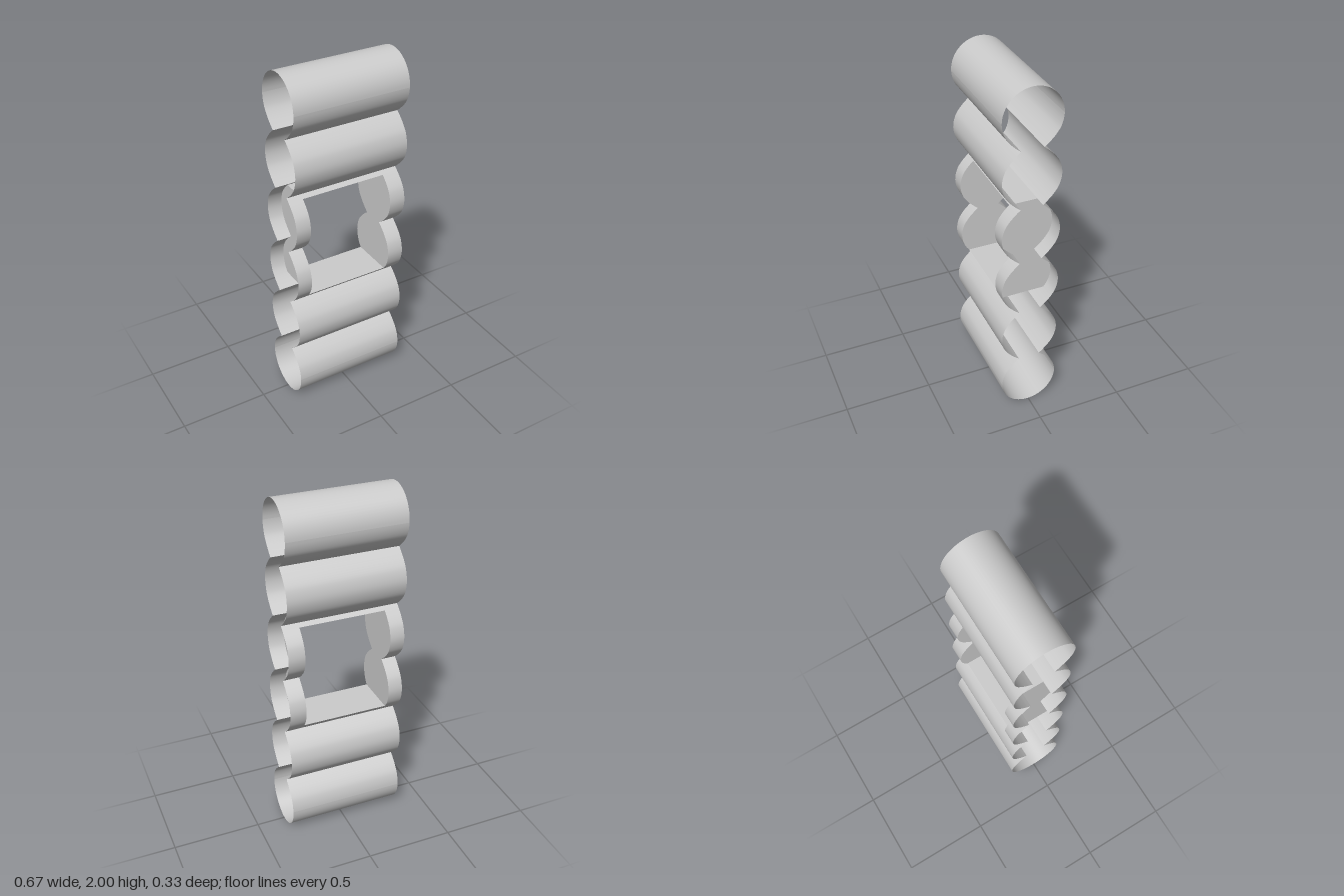
import * as THREE from 'three';

const LOBES = 6, PITCH = 2 / LOBES, HALF = PITCH / 2, DEPTH = 0.164, LENGTH = 0.333;
const WIN = { x0: -0.25, x1: 0.24, y0: 0.725, y1: 1.315 };
const mat = new THREE.MeshStandardMaterial({ color: 0xcccccc, side: THREE.DoubleSide });

// Half depth of a lobe against height above its waist
const flank = new THREE.CatmullRomCurve3(
  [[0.062, 0], [0.086, 0.02], [0.123, 0.058], [0.15, 0.1], [DEPTH, HALF], [0.15, PITCH - 0.1],
    [0.123, PITCH - 0.058], [0.086, PITCH - 0.02], [0.062, PITCH]].map(([z, y]) => new THREE.Vector3(z, y, 0)));

// Front flank of one lobe as [z, y] points going up, clipped to a height range
function flankPath(lobe, y0 = -1, y1 = 3) {
  const pts = flank.getPoints(32).map(p => [p.x, p.y + lobe * PITCH]);
  const out = [];
  pts.forEach((p, i) => {
    const q = pts[i - 1];
    if (q) for (const y of [y0, y1]) {
      if (q[1] < y && p[1] > y) out.push([THREE.MathUtils.mapLinear(y, q[1], p[1], q[0], p[0]), y]);
    }
    if (p[1] >= y0 && p[1] <= y1) out.push(p);
  });
  return out;
}

const toBack = path => path.map(([z, y]) => [-z, y]).reverse();

// Smooth wall that sweeps a [z, y] path along x
function wall(name, path, x0 = -LENGTH, x1 = LENGTH) {
  const pos = [], idx = [];
  path.forEach(([z, y], i) => {
    pos.push(x0, y, z, x1, y, z);
    if (i) {
      const a = 2 * i - 2;
      idx.push(a, a + 1, a + 3, a, a + 3, a + 2);
    }
  });
  const g = new THREE.BufferGeometry();
  g.setAttribute('position', new THREE.Float32BufferAttribute(pos, 3));
  g.setIndex(idx);
  g.computeVertexNormals();
  const m = new THREE.Mesh(g, mat);
  m.name = name;
  return m;
}

// Rounded end lobe: half round outside, flanks down to the waist
function endPath(top) {
  const cy = top ? 2 - HALF : HALF;
  const lobe = top ? LOBES - 1 : 0;
  const front = top ? flankPath(lobe, -1, cy - 0.001) : flankPath(lobe, cy + 0.001);
  const arc = [];
  for (let i = 0; i <= 32; i++) {
    const t = (top ? 0 : Math.PI) + Math.PI * i / 32;
    arc.push([DEPTH * Math.cos(t), cy + HALF * Math.sin(t)]);
  }
  return top ? [...front, ...arc, ...toBack(front)] : [...toBack(front), ...arc, ...front];
}

export function createModel() {
  const model = new THREE.Group();
  model.name = 'scallopedSleeve';

  // End lobes
  model.add(wall('bottomLobe', endPath(false)), wall('topLobe', endPath(true)));

  // Middle lobes, cut away around the window
  for (let i = 1; i < LOBES - 1; i++) {
    const g = new THREE.Group();
    g.name = 'middleLobe' + i;
    const add = (name, path, x0, x1) => {
      if (path.length > 1) g.add(wall(name + 'Front', path, x0, x1), wall(name + 'Back', toBack(path), x0, x1));
    };
    if (i === 1 || i === 4) add('wall', flankPath(i));
    else {
      add('belowWindow', flankPath(i, -1, WIN.y0));
      add('aboveWindow', flankPath(i, WIN.y1, 3));
      add('rightOfWindow', flankPath(i, WIN.y0, WIN.y1), -LENGTH, WIN.x0);
      add('leftOfWindow', flankPath(i, WIN.y0, WIN.y1), WIN.x1, LENGTH);
    }
    model.add(g);
  }

  // Window lining: two scalloped cheeks, a sill and a lintel
  const front = [...flankPath(2, WIN.y0, WIN.y1), ...flankPath(3, WIN.y0, WIN.y1).slice(1)];
  const outline = [...front, ...toBack(front)].map(([z, y]) => new THREE.Vector2(z, y));
  const cheekGeo = new THREE.ShapeGeometry(new THREE.Shape(outline));
  for (const [name, x, turn] of [['rightCheek', WIN.x0, 1], ['leftCheek', WIN.x1, -1]]) {
    const cheek = new THREE.Mesh(cheekGeo, mat);
    cheek.name = name;
    cheek.position.x = x;
    cheek.rotation.y = turn * Math.PI / 2;
    model.add(cheek);
  }
  const zSill = front[0][0], zLintel = front[front.length - 1][0];
  model.add(
    wall('sill', [[zSill, WIN.y0], [-zSill, WIN.y0]], WIN.x0, WIN.x1),
    wall('lintel', [[-zLintel, WIN.y1], [zLintel, WIN.y1]], WIN.x0, WIN.x1));
  return model;
}
